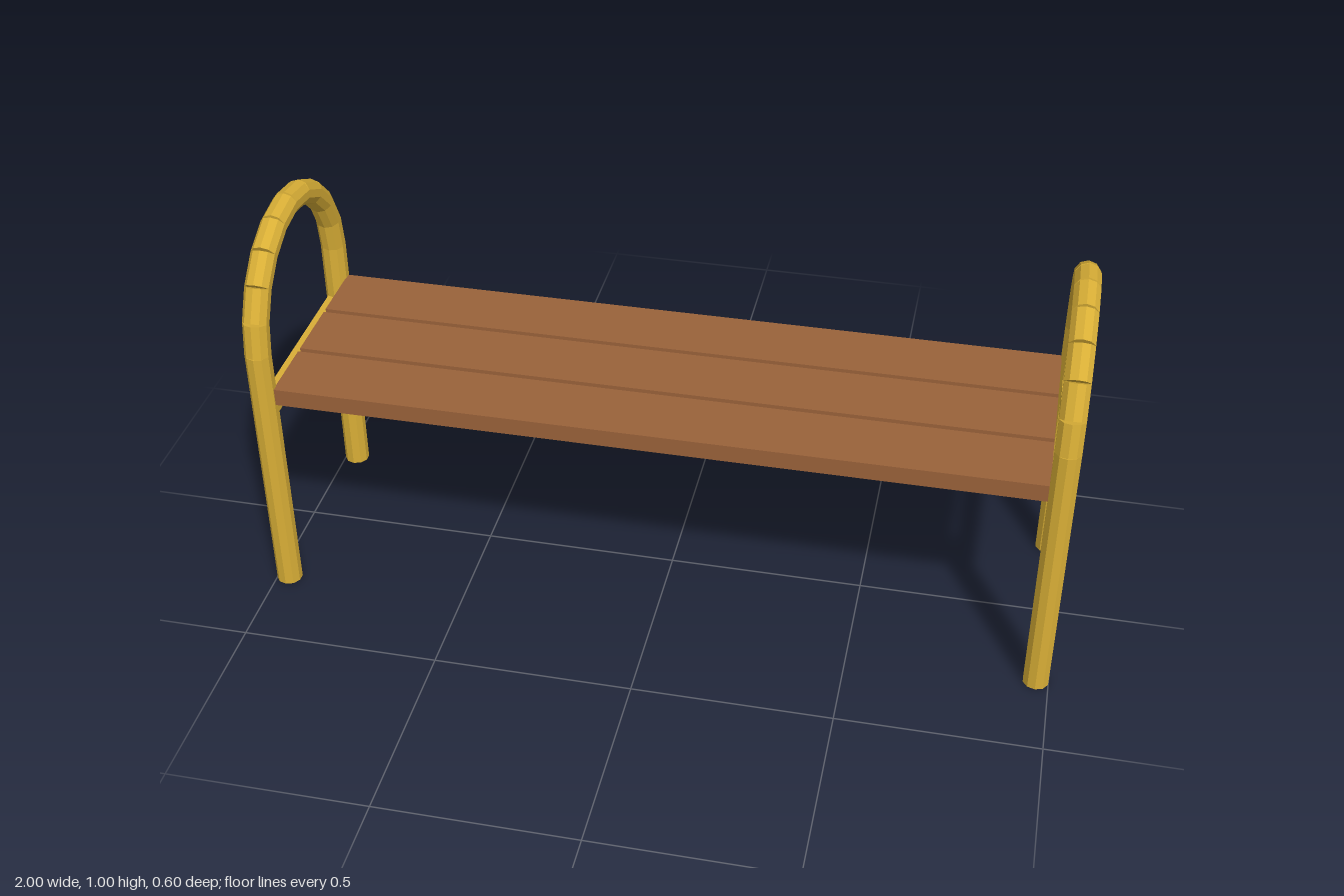
import * as THREE from 'three';

export function createModel() {
  const model = new THREE.Group();
  model.name = 'bench';

  const yellow = new THREE.MeshStandardMaterial({ color: 0xd8ae36, flatShading: true });
  yellow.name = 'yellow metal';
  const brown = new THREE.MeshStandardMaterial({ color: 0x99623a, flatShading: true });
  brown.name = 'brown wood';

  const R = 0.0325;        // tube radius
  const ARCH_R = 0.267;    // arch centreline radius, also the leg offset
  const LEG_TOP = 0.703;
  const SEGMENTS = 10;
  const FRAME_X = 0.969;

  const add = (parent, name, geometry, material, x, y, z) => {
    const mesh = new THREE.Mesh(geometry, material);
    mesh.name = name;
    mesh.position.set(x, y, z);
    parent.add(mesh);
    return mesh;
  };

  const legGeo = new THREE.CylinderGeometry(R, R, LEG_TOP, 10);
  const archGeo = new THREE.CylinderGeometry(R, R, 0.086, 10);
  const railGeo = new THREE.BoxGeometry(0.04, 0.04, 0.5);

  // End frames: two legs, a cross rail and an arch of straight tube pieces
  for (const side of [1, -1]) {
    const frame = new THREE.Group();
    frame.name = side > 0 ? 'leftFrame' : 'rightFrame';
    frame.position.x = side * FRAME_X;
    model.add(frame);

    add(frame, 'frontLeg', legGeo, yellow, 0, LEG_TOP / 2, ARCH_R);
    add(frame, 'backLeg', legGeo, yellow, 0, LEG_TOP / 2, -ARCH_R);
    add(frame, 'crossRail', railGeo, yellow, 0, 0.532, 0);

    const step = Math.PI / SEGMENTS;
    const midR = ARCH_R * Math.cos(step / 2);
    for (let i = 0; i < SEGMENTS; i++) {
      const a = (i + 0.5) * step;
      const piece = add(frame, 'archSegment' + (i + 1), archGeo, yellow,
        0, LEG_TOP - 0.002 + midR * Math.sin(a), midR * Math.cos(a));
      piece.rotation.x = -a;
    }
  }

  // Seat slats
  const slatGeo = new THREE.BoxGeometry(1.88, 0.045, 0.173);
  ['backSlat', 'middleSlat', 'frontSlat'].forEach((name, i) =>
    add(model, name, slatGeo, brown, 0, 0.5815, (i - 1) * 0.187));

  return model;
}
